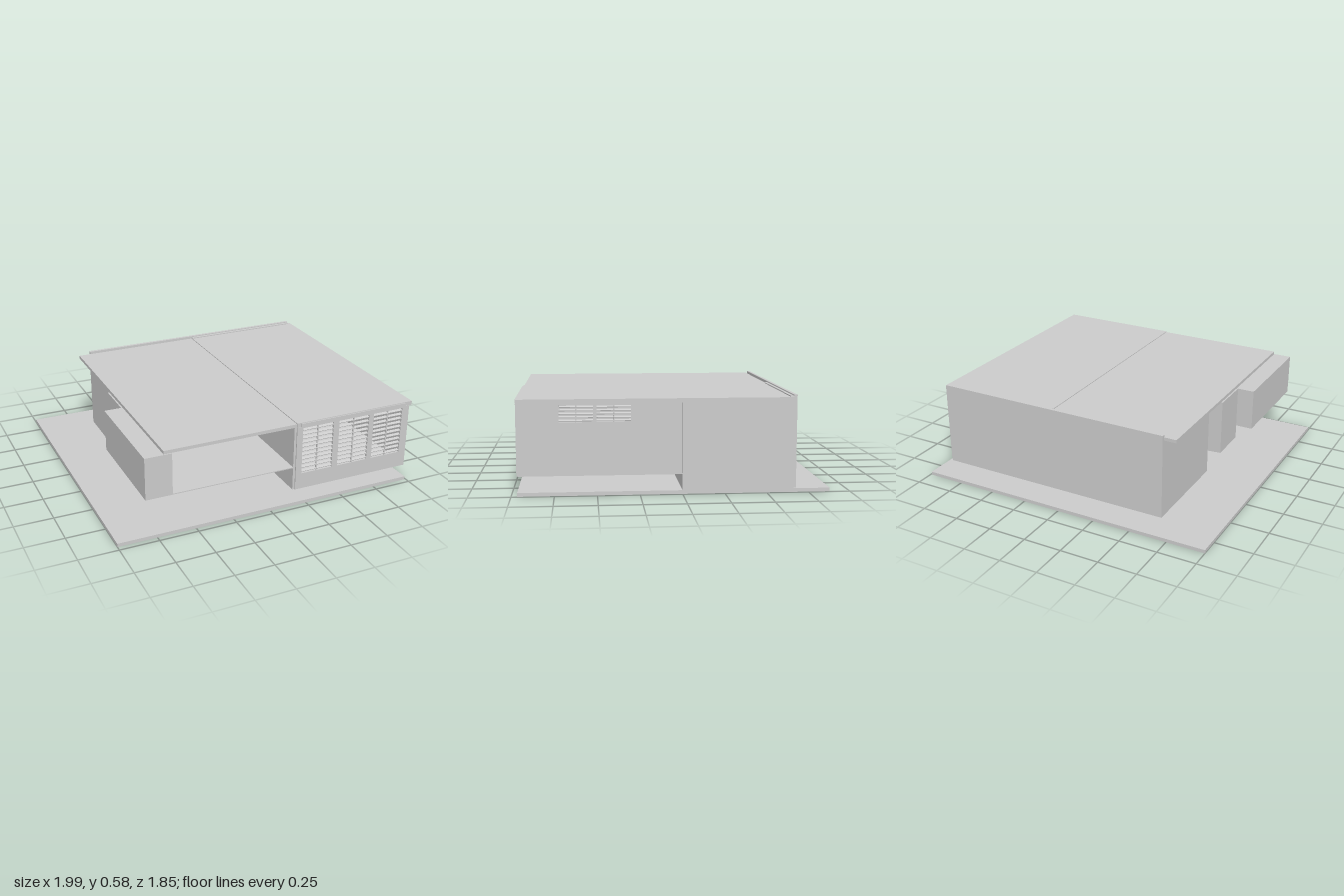
import * as THREE from 'three';

const grey = new THREE.MeshStandardMaterial({ color: 0xcccccc, flatShading: true });
const thin = new THREE.MeshStandardMaterial({ color: 0xcccccc, flatShading: true, side: THREE.DoubleSide });

// Box given by its limits on each axis
function box(parent, name, [x0, x1], [y0, y1], [z0, z1]) {
  const mesh = new THREE.Mesh(new THREE.BoxGeometry(x1 - x0, y1 - y0, z1 - z0), grey);
  mesh.position.set((x0 + x1) / 2, (y0 + y1) / 2, (z0 + z1) / 2);
  mesh.name = name;
  parent.add(mesh);
  return mesh;
}

// Outline in x and y, extruded from z0 to z1
function prism(parent, name, points, z0, z1, holes = []) {
  const shape = new THREE.Shape(points.map(p => new THREE.Vector2(...p)));
  for (const [a, b, c, d] of holes) {
    shape.holes.push(new THREE.Path([[a, c], [a, d], [b, d], [b, c]].map(p => new THREE.Vector2(...p))));
  }
  const geometry = new THREE.ExtrudeGeometry(shape, { depth: z1 - z0, bevelEnabled: false });
  const mesh = new THREE.Mesh(geometry, grey);
  mesh.position.z = z0;
  mesh.name = name;
  parent.add(mesh);
  return mesh;
}

// Wall with louvred windows, drawn in its own plane with the outside towards +z
function louvredWall(name, [x0, x1], [y0, y1], windows, slats) {
  const wall = new THREE.Group();
  wall.name = name;
  prism(wall, 'wallPanel', [[x0, y0], [x1, y0], [x1, y1], [x0, y1]], -0.015, 0, windows);
  for (const [a, b, c, d] of windows) {
    const mid = (a + b) / 2;
    box(wall, 'mullion', [mid - 0.004, mid + 0.004], [c, d], [-0.012, -0.003]);
    const step = (d - c) / slats;
    for (let i = 0; i < slats; i++) {
      const y = c + (i + 0.5) * step;
      const slat = box(wall, 'slat', [a, b], [y - 0.002, y + 0.002], [-0.018, 0]);
      slat.rotation.x = 0.35;
    }
  }
  return wall;
}

export function createModel() {
  const house = new THREE.Group();
  house.name = 'house';

  // Ground slab
  box(house, 'groundSlab', [-1, 0.99], [0, 0.022], [-0.88, 0.965]);

  // Rear block with a low opening in its back wall
  prism(house, 'rearBlock', [[-0.62, 0.02], [0.98, 0.02], [0.98, 0.54], [-0.62, 0.54]], -0.5, 0);
  prism(house, 'backWall', [[-0.62, 0.02], [-0.44, 0.02], [-0.44, 0.12], [-0.27, 0.12], [-0.27, 0.02],
    [0.98, 0.02], [0.98, 0.54], [-0.62, 0.54]], -0.66, -0.5);
  box(house, 'rightWall', [0.97, 0.99], [0.02, 0.565], [-0.66, 0]);
  box(house, 'backParapet', [-0.62, 0.97], [0.02, 0.578], [-0.68, -0.66]);
  box(house, 'parapetStep', [0.165, 0.97], [0.54, 0.572], [-0.66, -0.64]);
  box(house, 'door', [-0.07, 0.34], [0.022, 0.115], [0, 0.004]);
  box(house, 'doorPost', [0.34, 0.375], [0.022, 0.115], [0, 0.012]);

  // Stepped volumes on the left side
  prism(house, 'middleBlock', [[-0.71, 0.18], [0.16, 0.13], [0.16, 0.54], [-0.71, 0.54]], 0, 0.26);
  box(house, 'sideBox', [-0.82, -0.65], [0.27, 0.54], [0.26, 0.97]);

  // Balcony floor and the slanted soffit below it
  box(house, 'balconyFloor', [-0.65, 0.16], [0.264, 0.27], [0.26, 0.96]);
  const soffitGeometry = new THREE.BufferGeometry().setFromPoints([
    new THREE.Vector3(-0.71, 0.18, 0.26),
    new THREE.Vector3(0.165, 0.13, 0.26),
    new THREE.Vector3(0.165, 0.265, 0.96),
  ]);
  soffitGeometry.computeVertexNormals();
  const soffit = new THREE.Mesh(soffitGeometry, thin);
  soffit.name = 'soffit';
  house.add(soffit);

  // Raised front room
  const room = new THREE.Group();
  room.name = 'frontRoom';
  box(room, 'roomFloor', [0.15, 0.97], [0.115, 0.13], [0, 0.96]);
  box(room, 'roomLeftWall', [0.15, 0.165], [0.13, 0.54], [0, 0.96]);
  const front = louvredWall('frontWall', [0.165, 0.97], [0.115, 0.54],
    [[0.205, 0.42, 0.22, 0.53], [0.46, 0.675, 0.22, 0.53], [0.71, 0.92, 0.22, 0.53]], 11);
  front.position.z = 0.968;
  room.add(front);
  const side = louvredWall('sideWall', [-0.96, 0], [0.115, 0.54],
    [[-0.72, -0.52, 0.43, 0.53], [-0.5, -0.3, 0.43, 0.53]], 5);
  side.rotation.y = Math.PI / 2;
  side.position.x = 0.975;
  room.add(side);
  house.add(room);

  // Roof in two parts, the right one slightly higher
  box(house, 'roofLeft', [-0.7, 0.165], [0.54, 0.561], [-0.66, 0.962]);
  box(house, 'roofRight', [0.165, 0.99], [0.54, 0.566], [-0.66, 0.965]);
  box(house, 'frontFascia', [0.19, 0.94], [0.54, 0.562], [0.965, 0.972]);

  return house;
}
